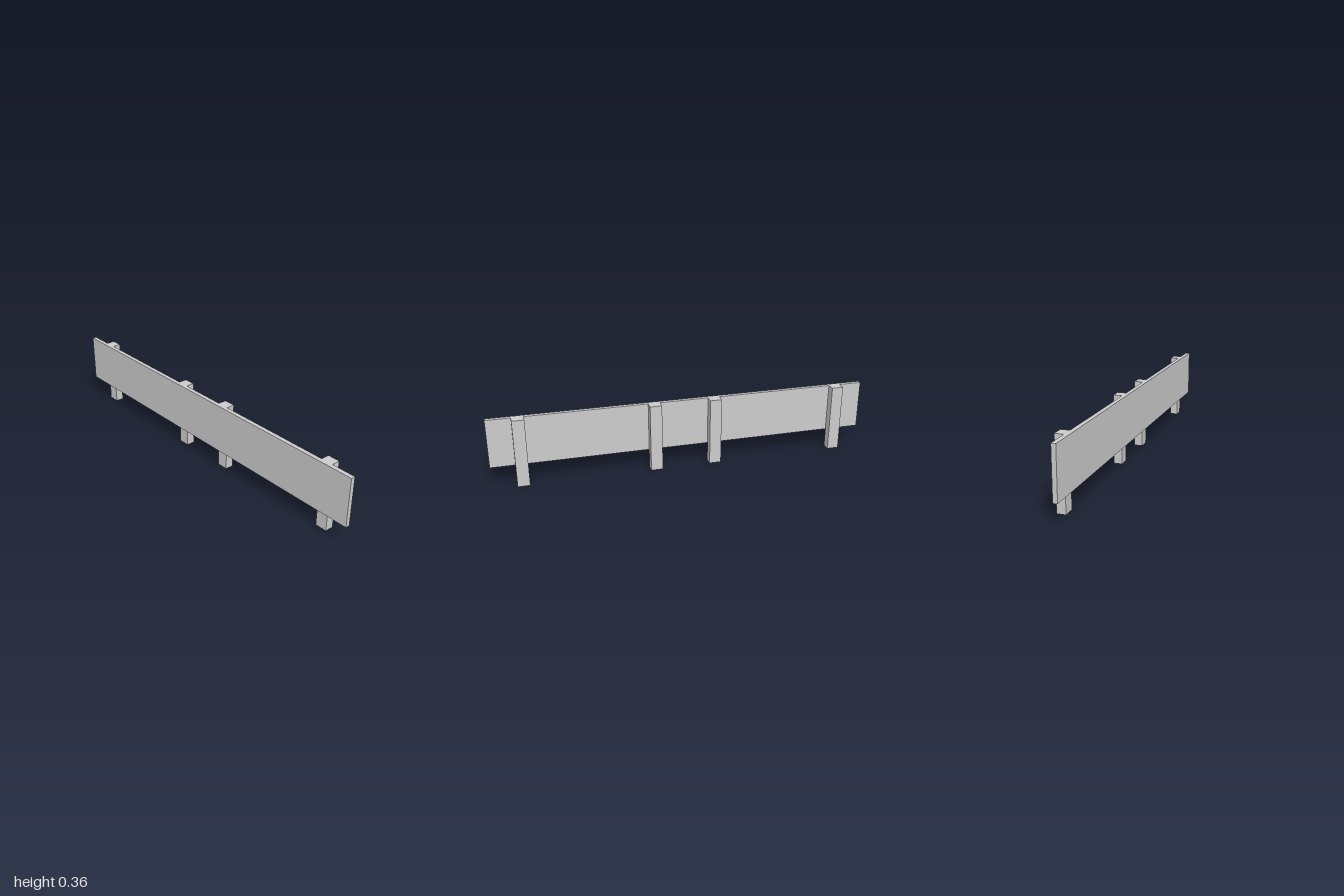
import * as THREE from 'three';

export function createModel() {
  const model = new THREE.Group();
  model.name = 'boardFence';
  const material = new THREE.MeshStandardMaterial({ color: 0xcccccc, flatShading: true });

  // Box given by its lower and upper corners
  function addBox(name, [x0, y0, z0], [x1, y1, z1]) {
    const mesh = new THREE.Mesh(new THREE.BoxGeometry(x1 - x0, y1 - y0, z1 - z0), material);
    mesh.position.set((x0 + x1) / 2, (y0 + y1) / 2, (z0 + z1) / 2);
    mesh.name = name;
    model.add(mesh);
  }

  const top = 0.356, joint = -0.011, halfPost = 0.031;

  // Long upright board
  addBox('board', [-0.033, 0.101, -1], [joint, top, 1]);

  // Four posts on the +x face, mirrored about the middle
  for (const z of [-0.844, -0.159, 0.159, 0.844]) {
    addBox('post', [joint, 0, z - halfPost], [0.033, top, z + halfPost]);
  }

  return model;
}
